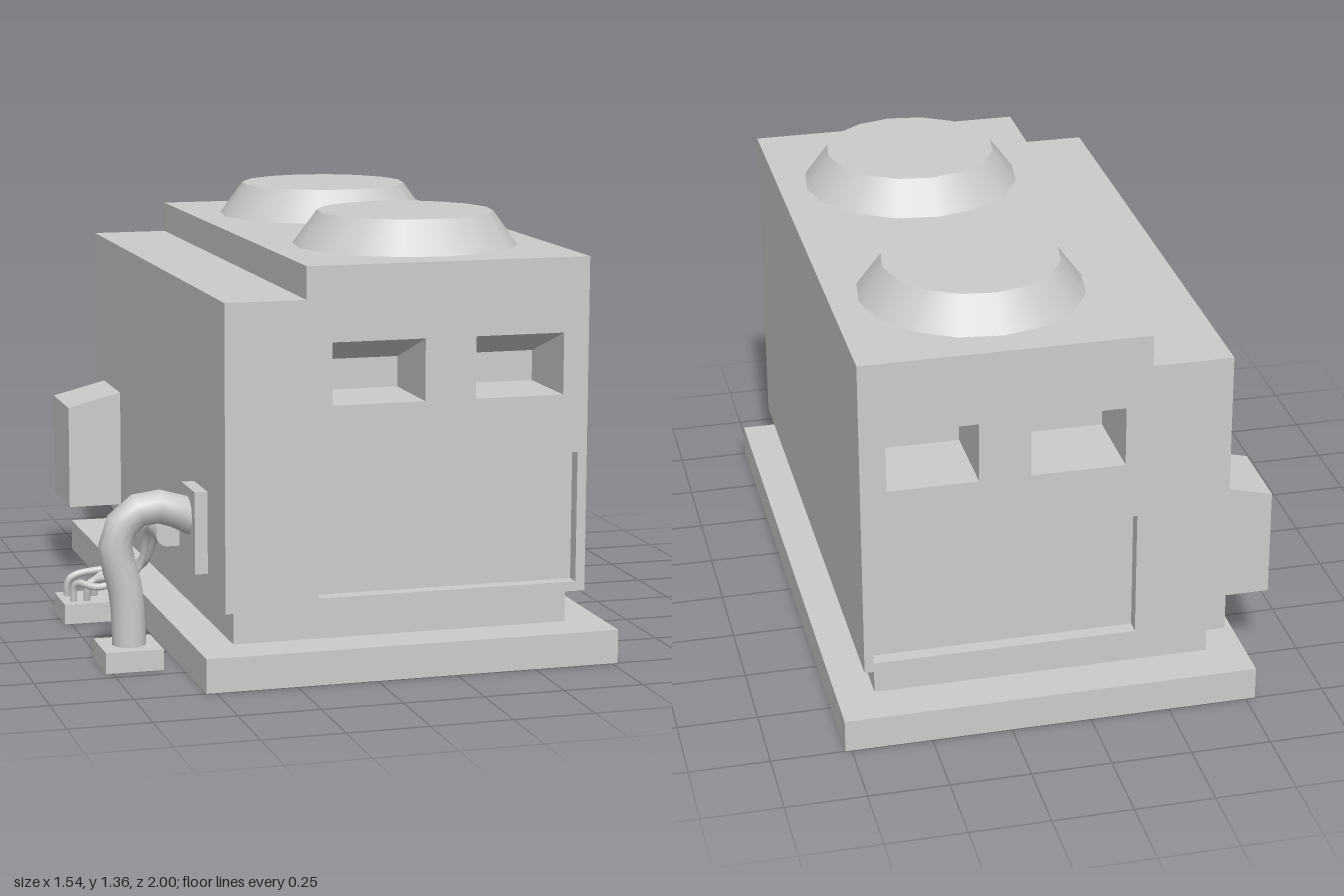
import * as THREE from 'three';

const grey = new THREE.MeshStandardMaterial({ color: 0xcccccc });
const v = (x, y, z) => new THREE.Vector3(x, y, z);

export function createModel() {
  const model = new THREE.Group();

  const add = (name, geometry) => {
    const mesh = new THREE.Mesh(geometry, grey);
    mesh.name = name;
    model.add(mesh);
    return mesh;
  };
  // Box given by its limits on each axis
  const box = (name, x0, x1, y0, y1, z0, z1) =>
    add(name, new THREE.BoxGeometry(x1 - x0, y1 - y0, z1 - z0)
      .translate((x0 + x1) / 2, (y0 + y1) / 2, (z0 + z1) / 2));
  const outline = (pts) => new THREE.Shape(pts.map(([a, b]) => new THREE.Vector2(a, b)));
  const rect = ([x0, x1, y0, y1]) => outline([[x0, y0], [x0, y1], [x1, y1], [x1, y0]]);
  // Extrude an (x, y) shape from z0 to z1
  const extrudeZ = (name, shape, z0, z1) =>
    add(name, new THREE.ExtrudeGeometry(shape, { depth: z1 - z0, bevelEnabled: false, curveSegments: 8 })
      .translate(0, 0, z0));
  // Extrude a (z, y) shape from x0 to x1
  const extrudeX = (name, shape, x0, x1) =>
    add(name, new THREE.ExtrudeGeometry(shape, { depth: x1 - x0, bevelEnabled: false })
      .rotateY(-Math.PI / 2).translate(x1, 0, 0));

  // Base plate and recessed plinth
  box('basePlate', -0.53, 0.77, 0, 0.105, -1, 1);
  box('plinth', -0.41, 0.65, 0.105, 0.215, -0.855, 0.855);

  // Stepped housing, built in layers so windows and panel are recessed at both ends
  const windows = [[-0.12, 0.17, 0.83, 1.02], [0.33, 0.61, 0.83, 1.02]];
  const panel = [-0.16, 0.66, 0.245, 0.65];
  const housing = (holes) => {
    const s = outline([[-0.45, 0.215], [0.69, 0.215], [0.69, 1.25], [-0.2, 1.25], [-0.2, 1.15], [-0.45, 1.15]]);
    s.holes = holes.map(rect);
    return s;
  };
  const end = 0.915, panelZ = 0.87, windowZ = 0.64;
  extrudeZ('housingCore', housing([]), -windowZ, windowZ);
  for (const s of [1, -1]) {
    const layer = (name, holes, a, b) =>
      extrudeZ(name, housing(holes), Math.min(s * a, s * b), Math.max(s * a, s * b));
    layer('housingWindowLayer', windows, windowZ, panelZ);
    layer('housingOuterLayer', [...windows, panel], panelZ, end);
    // Sloping window ceilings
    for (const [x0, x1, , top] of windows) {
      extrudeX('windowHood', outline([[s * end, top], [s * windowZ, top], [s * windowZ, 0.925]]), x0, x1);
    }
  }

  // Two tapered roof vents
  for (const z of [-0.46, 0.455]) {
    add('roofVent', new THREE.CylinderGeometry(0.275, 0.352, 0.105, 16, 1, false, 0.06))
      .position.set(0.25, 1.3025, z);
  }

  // Side box with sloping lid
  extrudeZ('sideBox', outline([[-0.63, 0.255], [-0.45, 0.255], [-0.45, 0.645], [-0.63, 0.6]]), -0.79, -0.53);

  // Bent pipe with wall flange and foot
  box('pipeFlange', -0.49, -0.45, 0.29, 0.545, 0.53, 0.7);
  box('pipeFoot', -0.77, -0.59, 0, 0.065, 0.52, 0.705);
  const pipePath = new THREE.CatmullRomCurve3([
    [-0.46, 0.44], [-0.57, 0.488], [-0.672, 0.468], [-0.717, 0.385], [-0.685, 0.22], [-0.677, 0.05],
  ].map(([x, y]) => v(x, y, 0.612)));
  add('pipe', new THREE.TubeGeometry(pipePath, 10, 0.053, 12));

  // Cable plug with rounded outer end, and cable foot
  const plug = new THREE.Shape();
  plug.moveTo(-0.45, 0.297);
  plug.lineTo(-0.45, 0.373);
  plug.lineTo(-0.487, 0.373);
  plug.absarc(-0.487, 0.335, 0.038, Math.PI / 2, Math.PI * 1.5, false);
  extrudeZ('cablePlug', plug, 0.185, 0.33);
  box('cableFoot', -0.77, -0.59, 0, 0.065, -0.1, 0.075);

  // Loose cables drooping from plug to foot: start x, sag point, run-in point, end x and z
  const cables = [
    [-0.472, [-0.49, 0.2, 0.03], [-0.55, 0.14, -0.06], -0.655, -0.03],
    [-0.485, [-0.5, 0.19, 0.06], [-0.57, 0.125, -0.02], -0.69, 0.03],
    [-0.5, [-0.515, 0.18, 0.04], [-0.6, 0.15, -0.04], -0.74, -0.05],
    [-0.51, [-0.53, 0.17, 0.08], [-0.66, 0.12, 0.09], -0.735, 0.03],
  ];
  for (const [x, sag, run, ex, ez] of cables) {
    const path = new THREE.CatmullRomCurve3([
      v(x, 0.335, 0.2), v(x - 0.003, 0.31, 0.14), v(...sag), v(...run),
      v(ex + 0.01, 0.125, ez + 0.01), v(ex, 0.05, ez),
    ]);
    add('cable', new THREE.TubeGeometry(path, 28, 0.012, 8));
  }

  return model;
}
